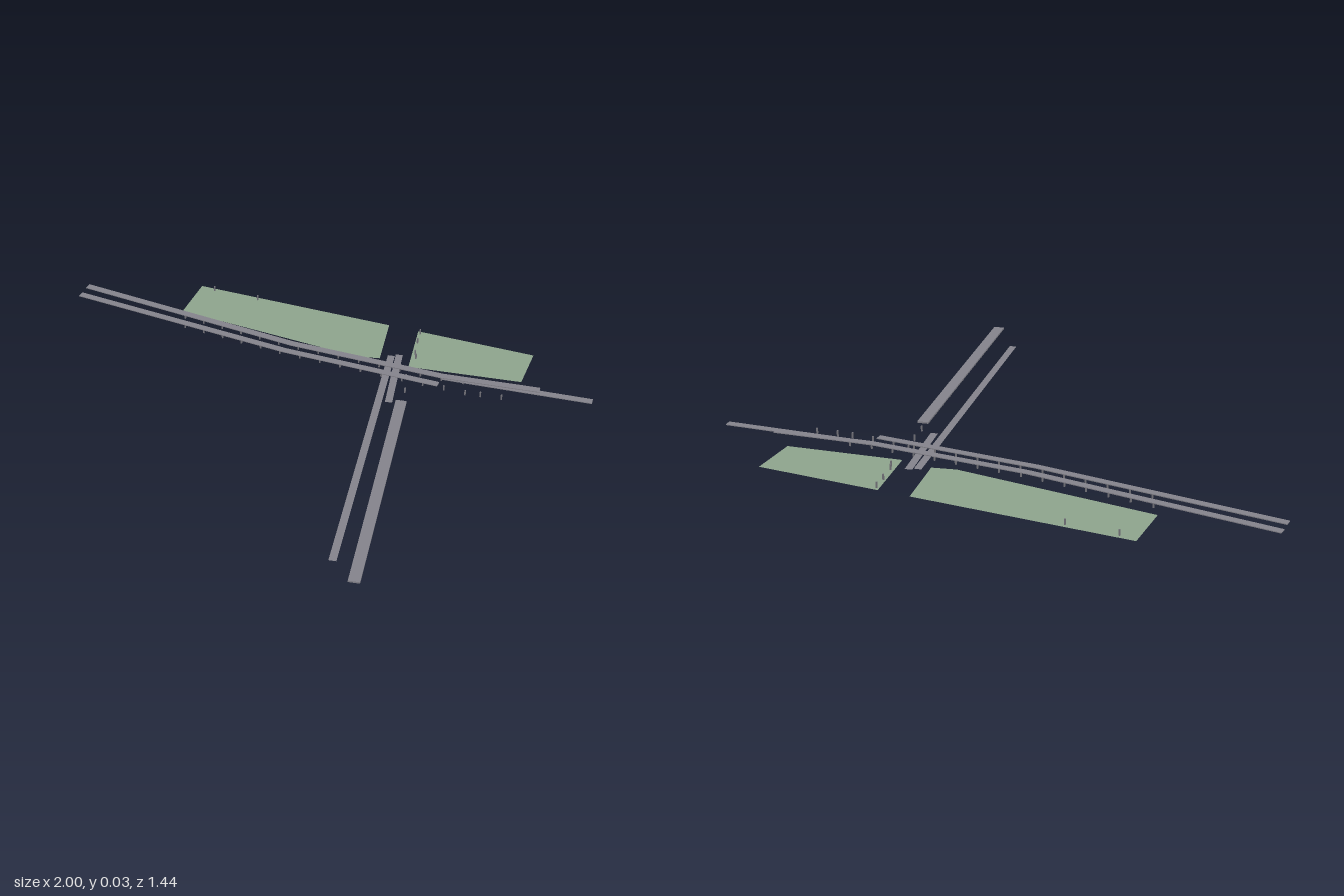
import * as THREE from 'three';

const asphalt = new THREE.MeshStandardMaterial({ color: 0x85848c, side: THREE.DoubleSide });
asphalt.name = 'asphalt';
const grass = new THREE.MeshStandardMaterial({ color: 0x8fa58d, side: THREE.DoubleSide });
grass.name = 'grass';
const concrete = new THREE.MeshStandardMaterial({ color: 0x77767d });
concrete.name = 'concrete';

// Plan points [x, z] become a shape lying in the ground plane
const planShape = (pts) => new THREE.Shape(pts.map(([x, z]) => new THREE.Vector2(x, -z)));

// Outline of a band of the given width with mitred joints along a centre line
function band(path, width) {
  const left = [], right = [];
  path.forEach((p, i) => {
    const a = path[Math.max(i - 1, 0)], b = path[Math.min(i + 1, path.length - 1)];
    const dx = b[0] - a[0], dz = b[1] - a[1];
    const s = width / 2 / Math.hypot(dx, dz);
    left.push([p[0] + dz * s, p[1] - dx * s]);
    right.unshift([p[0] - dz * s, p[1] + dx * s]);
  });
  return [...left, ...right];
}

function addMesh(parent, name, geometry, material) {
  const mesh = new THREE.Mesh(geometry, material);
  mesh.name = name;
  parent.add(mesh);
  return mesh;
}

// Flat sheet lying at height y
function sheet(parent, name, pts, y, material) {
  const geo = new THREE.ShapeGeometry(planShape(pts)).rotateX(-Math.PI / 2).translate(0, y, 0);
  return addMesh(parent, name, geo, material);
}

// Raised slab whose underside is at y, climbing gently towards the far right end
function deck(parent, name, path, width, y, thickness, climb = 0) {
  const geo = new THREE.ExtrudeGeometry(planShape(band(path, width)), { depth: thickness, bevelEnabled: false });
  geo.rotateX(-Math.PI / 2).translate(0, y, 0);
  const pos = geo.attributes.position;
  for (let i = 0; i < pos.count; i++) {
    pos.setY(i, pos.getY(i) + climb * Math.max(0, -pos.getX(i) - 0.13));
  }
  geo.computeVertexNormals();
  return addMesh(parent, name, geo, asphalt);
}

// z of a path at a given x
function zAt(path, x) {
  let i = 1;
  while (i < path.length - 1 && path[i][0] < x) i++;
  const [a, b] = [path[i - 1], path[i]];
  return a[1] + (b[1] - a[1]) * (x - a[0]) / (b[0] - a[0]);
}

export function createModel() {
  const model = new THREE.Group();
  model.name = 'roadInterchange';

  // Lawns
  sheet(model, 'rightLawn', [[-0.6, -0.72], [0.17, -0.72], [0.205, -0.5], [0.12, -0.48], [-0.6, -0.53]], 0, grass);
  sheet(model, 'leftLawn', [[0.285, -0.72], [0.73, -0.72], [0.73, -0.54], [0.32, -0.485]], 0, grass);

  // Ground level crossing roads
  sheet(model, 'longGroundRoad', band([[0.24, -0.53], [0.415, 0.615]], 0.026), 0.001, asphalt);
  sheet(model, 'shortGroundRoad', band([[0.266, -0.545], [0.32, -0.25]], 0.026), 0.0015, asphalt);

  // Elevated carriageways
  const back = [[-1, -0.526], [-0.12, -0.446], [0.46, -0.446], [0.81, -0.487]];
  const front = [[-1, -0.464], [-0.13, -0.395], [0.46, -0.392]];
  deck(model, 'backCarriageway', back, 0.027, 0.019, 0.003, 0.003);
  deck(model, 'frontCarriageway', front, 0.026, 0.019, 0.003, 0.003);
  deck(model, 'exitRamp', [[0.46, -0.442], [1, -0.491]], 0.026, 0.016, 0.003);
  deck(model, 'wideFlyover', [[0.37, -0.238], [0.52, 0.713]], 0.039, 0.025, 0.006);

  // Support pillars
  const pillars = new THREE.Group();
  pillars.name = 'pillars';
  model.add(pillars);
  const pillar = (x, z, h = 0.021) =>
    addMesh(pillars, 'pillar', new THREE.BoxGeometry(0.005, h, 0.005).translate(x, h / 2, z), concrete);
  for (let i = 0; i < 15; i++) {
    const x = -0.57 + i * 0.079;
    pillar(x, zAt(back, x), 0.02);
    pillar(x + 0.025, zAt(front, Math.min(x + 0.025, 0.46)), 0.02);
  }
  for (let i = 0; i < 12; i++) {
    const z = 0.535 - i * 0.0785;
    pillar(0.37 + 0.157 * (z + 0.24), z, z > -0.24 ? 0.026 : 0.021);
  }
  // Free-standing pillars beyond the deck ends
  [[0.615, -0.4], [0.69, -0.41], [0.335, -0.41], [0.32, -0.568], [0.33, -0.545],
    [0.305, -0.645], [0.297, -0.705], [-0.36, -0.705], [-0.54, -0.705]].forEach(([x, z]) => pillar(x, z));

  return model;
}
